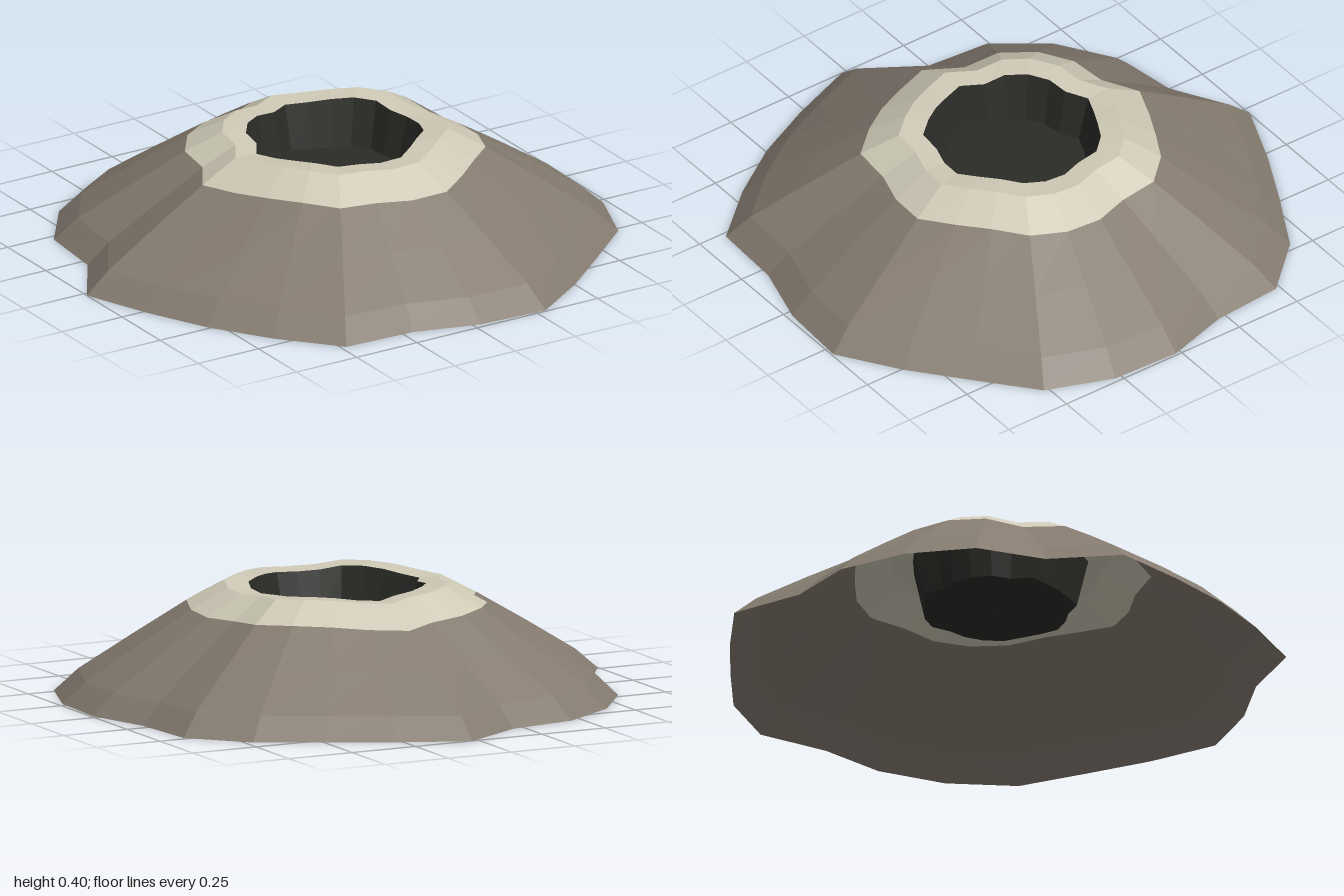
import * as THREE from 'three';

// Plan outline of the mound: one radius every 15 degrees, clockwise from the back
const OUTLINE = [
  1.024, 0.955, 0.939, 0.981, 1.006, 0.924, 0.965, 0.989, 0.997, 0.944, 0.955, 1.008,
  0.960, 0.923, 1.016, 0.964, 0.949, 0.963, 1.027, 0.907, 0.985, 0.990, 0.974, 0.915,
];
const N = OUTLINE.length;

// A scaled copy of the outline at a height, with a gentle four-lobed wave
function ring(scale, y, wave = 0) {
  return OUTLINE.map((r, k) => {
    const a = (k / N) * Math.PI * 2;
    return [Math.sin(a) * r * scale, y - wave * Math.cos(4 * a), -Math.cos(a) * r * scale];
  });
}

// Faceted skin joining consecutive rings
function skin(name, rings, color) {
  const pos = [];
  for (let i = 0; i < rings.length - 1; i++) {
    for (let k = 0; k < N; k++) {
      const n = (k + 1) % N;
      const a = rings[i][k], b = rings[i][n], c = rings[i + 1][k], d = rings[i + 1][n];
      pos.push(...a, ...c, ...b, ...b, ...c, ...d);
    }
  }
  const geo = new THREE.BufferGeometry();
  geo.setAttribute('position', new THREE.Float32BufferAttribute(pos, 3));
  geo.computeVertexNormals();
  const mat = new THREE.MeshStandardMaterial({ color, flatShading: true, side: THREE.DoubleSide });
  const mesh = new THREE.Mesh(geo, mat);
  mesh.name = name;
  return mesh;
}

export function createModel() {
  const group = new THREE.Group();
  group.name = 'craterMound';

  const shoulder = ring(0.533, 0.323, 0.01);
  const lipOuter = ring(0.4, 0.395, 0.008);
  const lipInner = ring(0.315, 0.39, 0.008);
  const floor = ring(0.275, 0.225);

  // Sloping sides, open underneath
  group.add(skin('moundSlope', [ring(1, 0), ring(0.915, 0.078, 0.003), ring(0.72, 0.205, 0.006), shoulder], 0x857b70));
  // Pale crust and the flat lip around the opening
  group.add(skin('paleCrust', [shoulder, lipOuter], 0xcfcab6));
  group.add(skin('craterLip', [lipOuter, lipInner], 0xcfcab6));
  // Dark pit
  group.add(skin('pitWall', [lipInner, floor], 0x2b2c27));
  group.add(skin('pitFloor', [floor, ring(0.001, 0.225)], 0x2b2c27));

  // Centre the uneven footprint
  group.children.forEach((m) => m.position.set(0.027, 0, 0.02));
  return group;
}
